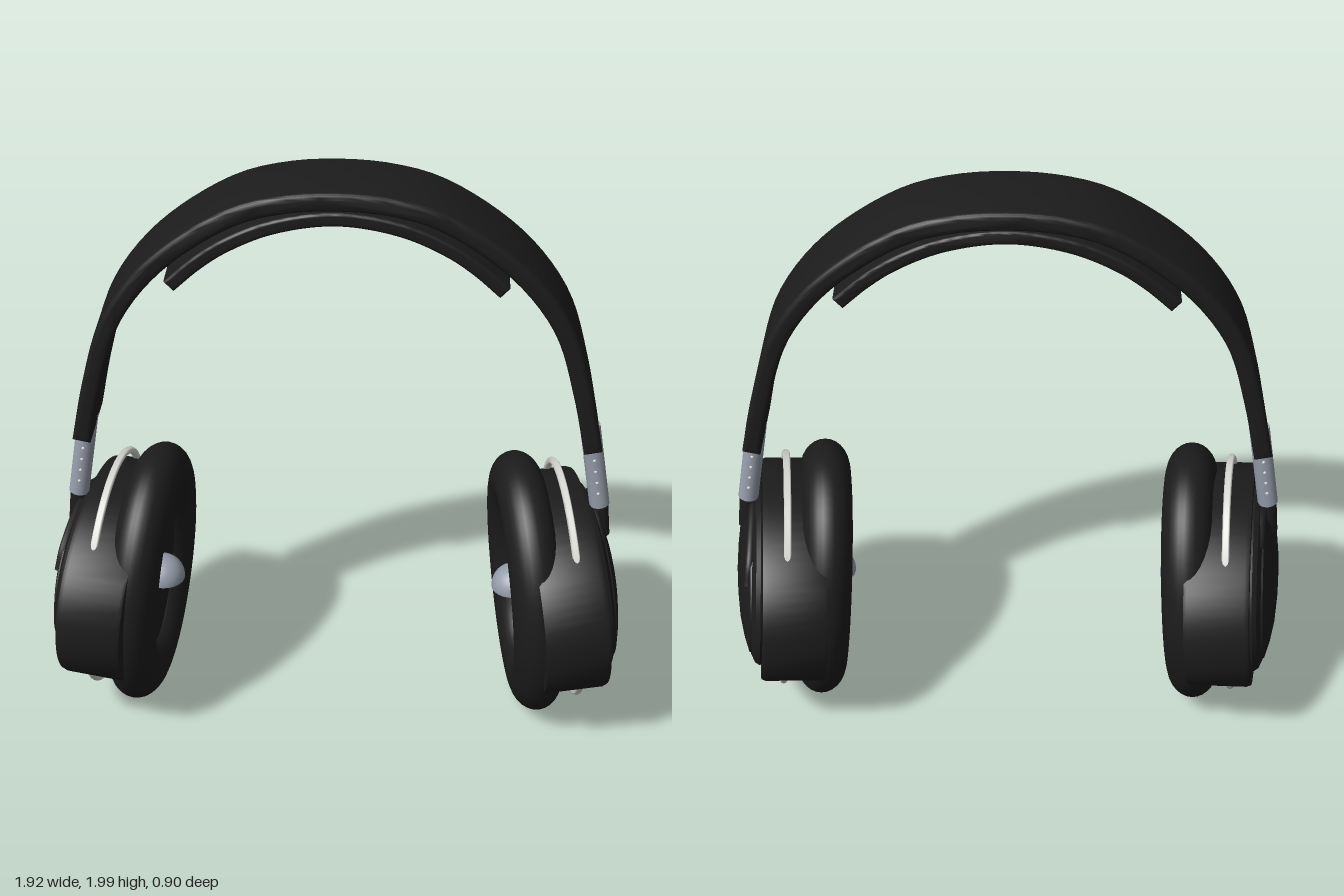
import * as THREE from 'three';
import { toCreasedNormals } from 'three/addons/utils/BufferGeometryUtils.js';

const mat = (name, color) => Object.assign(new THREE.MeshStandardMaterial({ color }), { name });
const V2 = (x, y) => new THREE.Vector2(x, y);
const V3 = (x, y, z) => new THREE.Vector3(x, y, z);

export function createModel() {
  const black = mat('black', 0x1c1c1c);
  const steel = mat('steel grey', 0x969eab);
  const silver = mat('light silver', 0xd6d6d2);

  const model = new THREE.Group();
  model.name = 'headphones';

  const add = (parent, name, geometry, material) => {
    const mesh = new THREE.Mesh(geometry, material);
    mesh.name = name;
    parent.add(mesh);
    return mesh;
  };

  // Curved strip: half of an arch is mirrored, thickened and extruded along z
  const strip = (half, thickness, width, bevel) => {
    const pts = [
      ...half.map(([x, y]) => V3(-x, y, 0)),
      ...half.slice(0, -1).reverse().map(([x, y]) => V3(x, y, 0)),
    ];
    const curve = new THREE.CatmullRomCurve3(pts);
    const outer = [], inner = [];
    for (let i = 0; i <= 56; i++) {
      const p = curve.getPointAt(i / 56), t = curve.getTangentAt(i / 56);
      const nx = -t.y * thickness / 2, ny = t.x * thickness / 2;
      outer.push(V2(p.x + nx, p.y + ny));
      inner.push(V2(p.x - nx, p.y - ny));
    }
    const geo = new THREE.ExtrudeGeometry(new THREE.Shape([...outer, ...inner.reverse()]), {
      depth: width - 2 * bevel, bevelEnabled: true, bevelThickness: bevel,
      bevelSize: bevel, bevelOffset: -bevel, bevelSegments: 4,
    });
    geo.translate(0, 0, -width / 2 + bevel);
    return toCreasedNormals(geo, 0.7);
  };

  // Headband and the pad hanging under it
  add(model, 'headband', strip(
    [[0.836, 1.1], [0.79, 1.31], [0.722, 1.53], [0.625, 1.68], [0.5, 1.8], [0.31, 1.917], [0.16, 1.958], [0, 1.97]],
    0.06, 0.29, 0.018), black);
  add(model, 'headbandPad', strip(
    [[0.525, 1.665], [0.44, 1.742], [0.35, 1.805], [0.2, 1.872], [0, 1.904]],
    0.045, 0.24, 0.01), black);

  // Straight rod between two points
  const rod = (parent, name, a, b, r, material) => {
    const mesh = add(parent, name, new THREE.CylinderGeometry(r, r, a.distanceTo(b), 24), material);
    mesh.position.copy(a).lerp(b, 0.5);
    mesh.quaternion.setFromUnitVectors(V3(0, 1, 0), b.clone().sub(a).normalize());
    return mesh;
  };

  // Elliptical solid of revolution, axis pointing outward; profile is [radius, outward]
  const ellipse = (s, profile, ry, rz) => {
    const geo = new THREE.LatheGeometry(profile.map(([r, h]) => V2(r, h)), 72);
    geo.rotateZ(-s * Math.PI / 2);
    geo.scale(1, ry, rz);
    return toCreasedNormals(geo, 0.5);
  };

  // Oval ring whose tube keeps an even thickness
  const ovalRing = (ry, rz, tube, flatten, sides) => {
    const mean = (ry + rz) / 2, diff = (ry - rz) / 2;
    const geo = new THREE.TorusGeometry(mean, tube, sides, 80);
    const p = geo.attributes.position;
    for (let i = 0; i < p.count; i++) {
      const a = Math.atan2(p.getY(i), p.getX(i));
      p.setXYZ(i, p.getX(i) - diff * Math.cos(a), p.getY(i) + diff * Math.sin(a), p.getZ(i) * flatten);
    }
    geo.rotateY(Math.PI / 2);
    return toCreasedNormals(geo, Math.PI);
  };

  for (const s of [1, -1]) {
    const side = s > 0 ? 'left' : 'right';

    // Slider arm with adjustment marks, and its dark foot on the cup
    const top = V3(s * 0.832, 1.13, 0), low = V3(s * 0.885, 0.82, 0);
    rod(model, side + 'Slider', top, low, 0.034, steel);
    rod(model, side + 'SliderFoot', low, V3(s * 0.898, 0.7, 0), 0.03, black);
    for (const face of [1, -1]) {
      for (let i = 0; i < 5; i++) {
        const dot = add(model, side + 'SliderMark', new THREE.SphereGeometry(0.006, 8, 6), silver);
        dot.position.copy(top).lerp(low, 0.25 + i * 0.14);
        dot.position.z = face * 0.033;
      }
    }

    // Ear cup, toed and tilted; local x runs outward
    const cup = new THREE.Group();
    cup.name = side + 'EarCup';
    cup.position.set(s * 0.65, 0.495, 0.012);
    cup.rotation.set(0, s * 0.13, s * 0.09);
    model.add(cup);

    add(cup, 'earCushion', ovalRing(0.387, 0.278, 0.1, 0.84, 28), black);
    add(cup, 'speakerCover', ellipse(s, [[0, -0.03], [1, -0.03], [1, 0.02], [0, 0.02]].map(([r, h]) => [r, h]), 0.33, 0.23), black);
    add(cup, 'cupBody', ellipse(s, [[0, 0], [0.99, 0], [1, 0.01], [1, 0.2], [0.985, 0.215], [0, 0.215]], 0.35, 0.443), black);
    add(cup, 'outerCap', ellipse(s,
      [[0, 0.2], [0.97, 0.2], [1, 0.222], [0.97, 0.237], [0.885, 0.25], [0.875, 0.246], [0.865, 0.256],
        [0.7, 0.273], [0.5, 0.287], [0.25, 0.295], [0, 0.298]], 0.31, 0.375), black);

    // Wire loop showing above and below the cup body
    add(cup, 'wireLoop', ovalRing(0.428, 0.35, 0.013, 1, 10), silver).position.x = s * 0.135;

    // Half dome in the middle of the speaker
    const dome = add(cup, 'speakerDome',
      new THREE.SphereGeometry(0.078, 28, 12, 0, Math.PI * 2, 0, Math.PI / 2), steel);
    dome.position.set(s * -0.038, -0.008, 0);

    // Curved ridge sweeping from the slider foot over the cap
    const ridge = new THREE.CatmullRomCurve3(
      [[0.24, 0.235, 0.16], [0.245, 0.28, 0.03], [0.252, 0.25, -0.11], [0.258, 0.19, -0.21], [0.264, 0.12, -0.24]]
        .map(([x, y, z]) => V3(s * x, y, s * z)));
    add(cup, 'capRidge', new THREE.TubeGeometry(ridge, 32, 0.016, 10), black);
  }
  return model;
}
